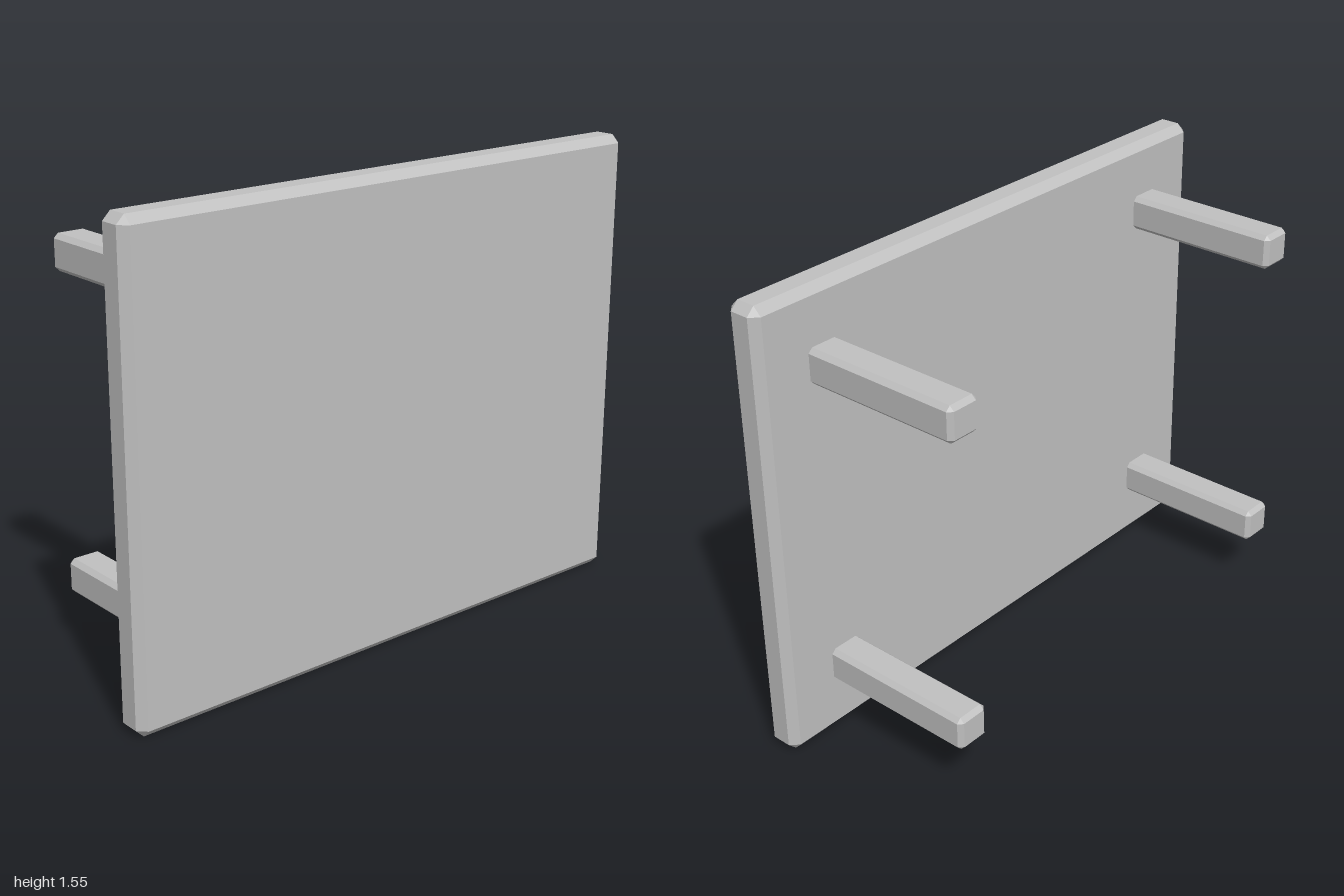
import * as THREE from 'three';
import { ConvexGeometry } from 'three/addons/geometries/ConvexGeometry.js';

// Box with every edge cut by a flat chamfer c
function chamferedBox(w, h, d, c) {
  const half = [w / 2, h / 2, d / 2];
  const points = [];
  for (const sx of [-1, 1]) for (const sy of [-1, 1]) for (const sz of [-1, 1]) {
    for (let outer = 0; outer < 3; outer++) {
      const p = half.map((v, i) => (i === outer ? v : v - c));
      points.push(new THREE.Vector3(sx * p[0], sy * p[1], sz * p[2]));
    }
  }
  return new ConvexGeometry(points);
}

export function createModel() {
  const group = new THREE.Group();
  const grey = new THREE.MeshStandardMaterial({ color: 0xc0c0c0, flatShading: true });
  grey.name = 'light grey';

  // Upright slab at the front
  const panel = new THREE.Mesh(chamferedBox(2, 1.55, 0.12, 0.027), grey);
  panel.name = 'panel';
  panel.position.set(0, 0.775, 0.275);
  group.add(panel);

  // Four legs pointing back, sunk a little into the slab
  const legGeometry = chamferedBox(0.117, 0.118, 0.585, 0.015);
  for (const [sideName, x] of [['left', 0.755], ['right', -0.755]]) {
    for (const [levelName, y] of [['Upper', 1.306], ['Lower', 0.246]]) {
      const leg = new THREE.Mesh(legGeometry, grey);
      leg.name = `${sideName}${levelName}Leg`;
      leg.position.set(x, y, -0.0425);
      group.add(leg);
    }
  }
  return group;
}
